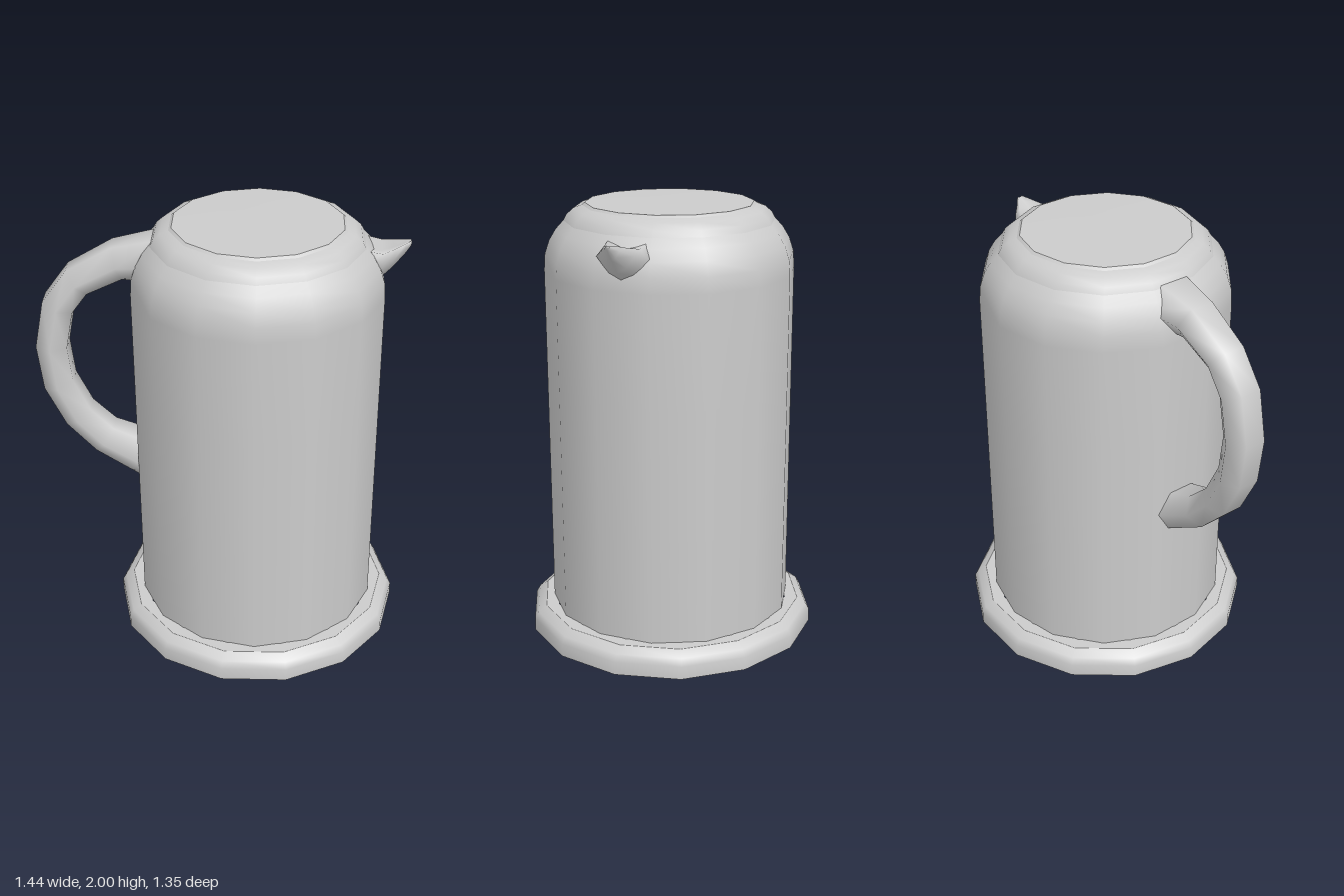
import * as THREE from 'three';

const STEP = (Math.PI * 2) / 14; // the pot has fourteen sides
const PHASE = THREE.MathUtils.degToRad(92);
const AXIS = [0.065, 0, -0.012]; // axis of the pot

const grey = new THREE.MeshStandardMaterial({ color: 0xcccccc, side: THREE.DoubleSide });

// Turned part from a [radius, height] profile
function turned(name, profile, phase = PHASE) {
  const points = profile.map(([r, y]) => new THREE.Vector2(r, y));
  const mesh = new THREE.Mesh(new THREE.LatheGeometry(points, 14, phase), grey);
  mesh.name = name;
  return mesh;
}

// Skin stretched over equal-sized closed rings of Vector3
function loft(name, rings) {
  const n = rings[0].length;
  const index = [];
  for (let i = 0; i < rings.length - 1; i++) {
    for (let j = 0; j < n; j++) {
      const a = i * n + j, b = i * n + ((j + 1) % n);
      index.push(a, b, a + n, b, b + n, a + n);
    }
  }
  const geometry = new THREE.BufferGeometry().setFromPoints(rings.flat());
  geometry.setIndex(index);
  geometry.computeVertexNormals();
  const mesh = new THREE.Mesh(geometry, grey);
  mesh.name = name;
  return mesh;
}

function makeHandle() {
  // centre line as [distance from axis, height, thickness], from bottom to top
  const path = [
    [0.44, 0.80, 1.5], [0.55, 0.84, 1.25], [0.705, 0.92, 1.05], [0.82, 1.04, 1], [0.9, 1.21, 1],
    [0.92, 1.4, 1], [0.88, 1.6, 1], [0.79, 1.72, 1], [0.61, 1.815, 1.1], [0.42, 1.835, 1.4],
  ];
  const rings = path.map(([x, y, s], i) => {
    const p = path[Math.max(i - 1, 0)], q = path[Math.min(i + 1, path.length - 1)];
    const t = new THREE.Vector2(q[0] - p[0], q[1] - p[1]).normalize();
    // six-sided section with a flat outer face
    return Array.from({ length: 6 }, (_, k) => {
      const angle = ((k + 0.5) * Math.PI) / 3;
      const out = Math.cos(angle) * 0.08 * s, side = Math.sin(angle) * 0.1 * s;
      return new THREE.Vector3(x + t.y * out, y - t.x * out, -side);
    });
  });
  const handle = loft('handle', rings);
  handle.rotation.y = -THREE.MathUtils.degToRad(139.3);
  return handle;
}

function makeSpout() {
  // sections as [distance from axis, half width, top, bottom]
  const sections = [
    [0.42, 0.13, 1.91, 1.68], [0.53, 0.115, 1.885, 1.74], [0.58, 0.08, 1.895, 1.79],
    [0.63, 0.035, 1.91, 1.85], [0.655, 0.016, 1.915, 1.89],
  ];
  const rings = sections.map(([x, w, top, low]) => {
    const h = top - low;
    // shallow groove on top, rounded keel below
    return [
      [top - h * 0.12, 0], [top, w * 0.7], [top - h * 0.3, w], [low + h * 0.2, w * 0.5],
      [low, 0], [low + h * 0.2, -w * 0.5], [top - h * 0.3, -w], [top, -w * 0.7],
    ].map(([y, z]) => new THREE.Vector3(x, y, z));
  });
  rings.push(rings[0].map(() => new THREE.Vector3(0.658, 1.905, 0))); // closed tip
  const spout = loft('spout', rings);
  spout.rotation.y = THREE.MathUtils.degToRad(40.7);
  return spout;
}

export function createModel() {
  const model = new THREE.Group();
  model.name = 'jug';

  const pot = new THREE.Group();
  pot.name = 'pot';
  pot.position.set(...AXIS);
  pot.add(
    // hollow foot, open underneath
    turned('foot', [[0.668, 0], [0.668, 0.06], [0.65, 0.092], [0.61, 0.118]], PHASE - STEP / 2),
    turned('footTop', [[0.61, 0.118], [0.55, 0.118]], PHASE - STEP / 2),
    turned('floor', [[0, 0.114], [0.56, 0.114]]),
    // straight body with a rounded shoulder
    turned('body', [[0.56, 0.114], [0.56, 0.6], [0.56, 1.2], [0.56, 1.7], [0.555, 1.77],
      [0.535, 1.83], [0.505, 1.88], [0.47, 1.918]]),
    turned('lidRim', [[0.47, 1.918], [0.455, 1.945], [0.425, 1.972], [0.387, 1.986]]),
    turned('lidEdge', [[0.387, 1.986], [0.375, 1.996]]),
    turned('lidTop', [[0.375, 1.996], [0.2, 1.999], [0, 2]]),
    makeHandle(),
    makeSpout(),
  );
  model.add(pot);
  return model;
}
